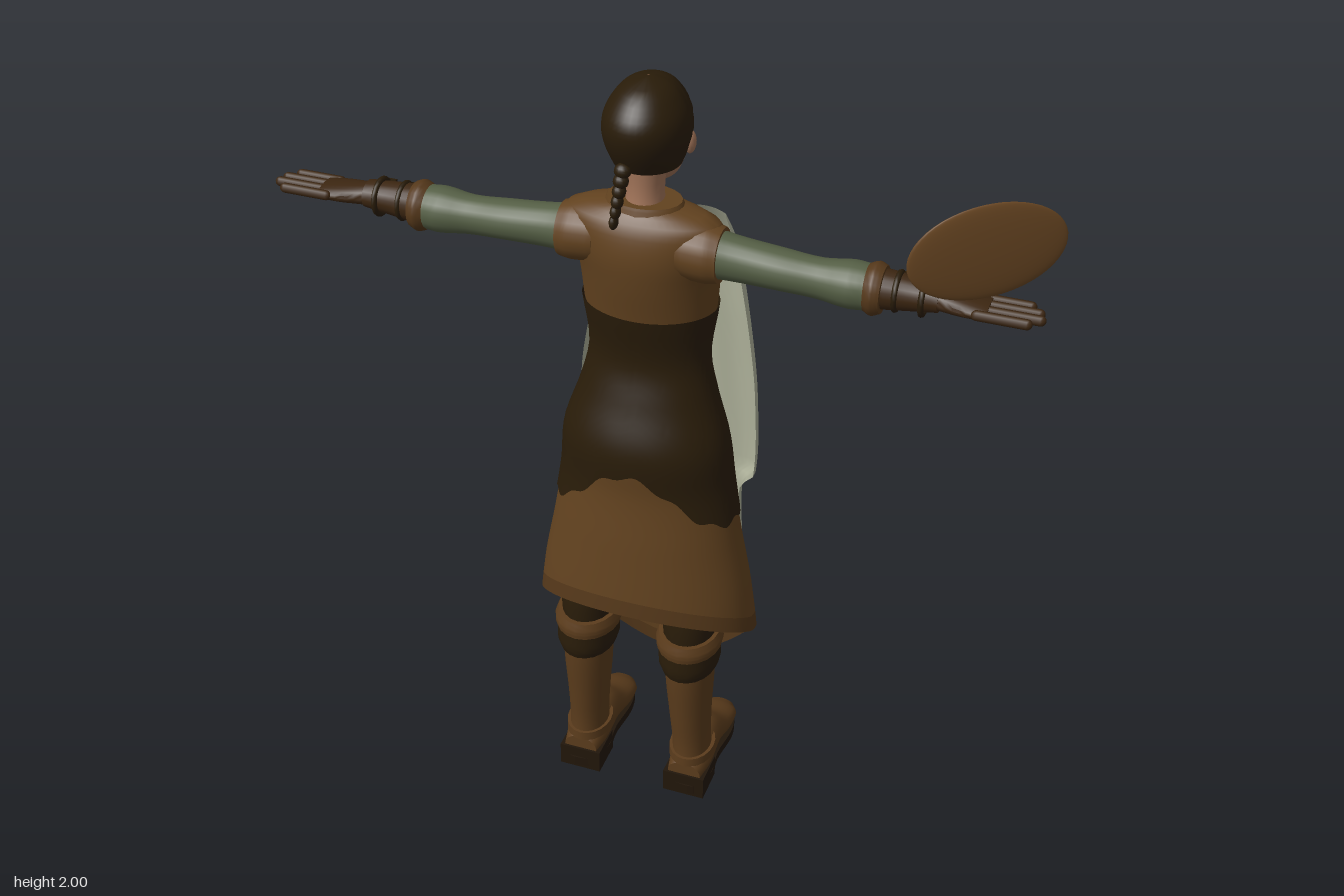
import * as THREE from 'three';
import { toCreasedNormals } from 'three/addons/utils/BufferGeometryUtils.js';

const mat = (name, color, side = THREE.FrontSide) => Object.assign(new THREE.MeshStandardMaterial({ color, side }), { name });
const M = {
  brown: mat('brown cloth', 0x62421f, THREE.DoubleSide),
  dark: mat('dark leather', 0x291c09, THREE.DoubleSide),
  hem: mat('hem brown', 0x55381a, THREE.DoubleSide),
  green: mat('green linen', 0x545e44, THREE.DoubleSide),
  pale: mat('pale canvas', 0xaeb19a, THREE.DoubleSide),
  skin: mat('skin', 0xa07358),
  boot: mat('boot leather', 0x5b3c1c),
  glove: mat('glove leather', 0x3c2611),
  sole: mat('sole', 0x21160a),
  wood: mat('wood', 0x6a4723),
};

// smooth interpolation of table rows keyed by their first column
function at(table, k) {
  let i = 0;
  while (i < table.length - 2 && k > table[i + 1][0]) i++;
  const a = table[i], b = table[i + 1], p = table[i - 1] ?? a, n = table[i + 2] ?? b;
  const h = b[0] - a[0], t = THREE.MathUtils.clamp((k - a[0]) / h, 0, 1);
  return a.map((v, j) => {
    const m0 = (b[j] - p[j]) / (b[0] - p[0]) * h, m1 = (n[j] - v) / (n[0] - a[0]) * h;
    return (2 * t ** 3 - 3 * t * t + 1) * v + (t ** 3 - 2 * t * t + t) * m0 + (3 * t * t - 2 * t ** 3) * b[j] + (t ** 3 - t * t) * m1;
  });
}

// grid surface from f(u, v) -> [x, y, z]
function surface(nu, nv, f) {
  const pos = [], idx = [];
  for (let j = 0; j <= nv; j++) for (let i = 0; i <= nu; i++) pos.push(...f(i / nu, j / nv));
  for (let j = 0; j < nv; j++) for (let i = 0; i < nu; i++) {
    const a = j * (nu + 1) + i, c = a + nu + 1;
    idx.push(a, a + 1, c + 1, a, c + 1, c);
  }
  const g = new THREE.BufferGeometry();
  g.setAttribute('position', new THREE.Float32BufferAttribute(pos, 3));
  g.setIndex(idx);
  return toCreasedNormals(g, 1);
}

// capped loft along y; rows are [y, centre x, centre z, radius x, radius z]
function loft(rows, nu = 20, sub = 4) {
  const n = (rows.length - 1) * sub;
  return surface(nu, n + 2, (u, v) => {
    const j = Math.round(v * (n + 2)) - 1, q = THREE.MathUtils.clamp(j / sub, 0, rows.length - 1);
    const i = Math.min(Math.floor(q), rows.length - 2);
    const r = at(rows, rows[i][0] + (q - i) * (rows[i + 1][0] - rows[i][0]));
    const k = j < 0 || j > n ? 0 : 1, a = u * 2 * Math.PI;
    return [r[1] + k * r[3] * Math.sin(a), r[0], r[2] + k * r[4] * Math.cos(a)];
  });
}

// point on a shell; rows are [y, radius x, front z, back z]; angle 0 is the back
function shellPoint(rows, a, y, off) {
  const [, rx, zf, zb] = at(rows, y);
  return [(rx + off) * Math.sin(a), y, (zf + zb) / 2 + ((zb - zf) / 2 + off) * Math.cos(a)];
}

// band of a shell between two heights, with an optional gap at the front
function shell(rows, lo, hi, { off = 0, gap = () => 0, nu = 56, nv = 20 } = {}) {
  return surface(nu, nv, (u, v) => {
    const a = (2 * u - 1) * (Math.PI - gap(v));
    return shellPoint(rows, a, THREE.MathUtils.lerp(lo(a), hi(a), v), off);
  });
}

// mirror in x, keeping faces outward
function mirrored(geo) {
  const g = geo.index ? geo.toNonIndexed() : geo.clone();
  g.scale(-1, 1, 1);
  for (const attr of [g.attributes.position, g.attributes.normal]) {
    for (let i = 0; i < attr.count; i += 3) {
      const p = [attr.getX(i), attr.getY(i), attr.getZ(i)];
      attr.setXYZ(i, attr.getX(i + 2), attr.getY(i + 2), attr.getZ(i + 2));
      attr.setXYZ(i + 2, ...p);
    }
  }
  return g;
}

const ball = (x, y, z, sx, sy, sz) => new THREE.SphereGeometry(1, 14, 10).scale(sx, sy, sz).translate(x, y, z);
const box = (w, h, d, x, y, z) => new THREE.BoxGeometry(w, h, d).translate(x, y, z);
const tube = (pts, r) => new THREE.TubeGeometry(new THREE.CatmullRomCurve3(pts.map(p => new THREE.Vector3(...p))), 12, r, 8);
// loft along x; the second column is minus the height
const arm = rows => loft(rows).rotateZ(-Math.PI / 2);

export function createModel() {
  const root = new THREE.Group();
  const add = (name, geo, m, parent = root) => {
    const mesh = new THREE.Mesh(geo, m);
    mesh.name = name;
    parent.add(mesh);
  };
  const both = (name, geo, m) => { add(name + 'Left', geo, m); add(name + 'Right', mirrored(geo), m); };

  // dress
  const body = [
    [0.15, 0.275, -0.175, 0.23], [0.4, 0.295, -0.16, 0.22], [0.62, 0.275, -0.14, 0.205], [0.8, 0.242, -0.125, 0.188],
    [0.95, 0.218, -0.115, 0.172], [1.08, 0.203, -0.105, 0.175], [1.2, 0.165, -0.095, 0.135], [1.3, 0.145, -0.085, 0.108],
    [1.43, 0.16, -0.115, 0.128], [1.53, 0.168, -0.123, 0.145], [1.6, 0.18, -0.09, 0.15], [1.66, 0.188, -0.04, 0.138],
    [1.69, 0.165, -0.015, 0.12], [1.71, 0.07, -0.01, 0.1],
  ];
  const hem = a => { const c = Math.cos(a); return c > 0 ? 0.51 + 0.1 * c : 0.51 - 0.31 * c * c; };
  const waist = a => 0.865 + 0.155 * Math.cos(a) ** 4 + 0.008 * Math.sin(a * 14);
  add('skirt', shell(body, a => hem(a) + 0.045, () => 1.06, { gap: v => 0.1 * (1 - v) }), M.brown);
  add('skirtHem', shell(body, hem, a => hem(a) + 0.045, { gap: () => 0.1, nv: 2 }), M.hem);
  add('corset', shell(body, waist, () => 1.435, { off: 0.005, nu: 112 }), M.dark);
  add('bodice', shell(body, () => 1.425, () => 1.71), M.brown);
  both('armhole', arm([[0.1, -1.615, 0.062, 0.07, 0.07], [0.16, -1.612, 0.064, 0.072, 0.07], [0.192, -1.61, 0.065, 0.066, 0.062]]), M.brown);
  add('shirtFront', surface(20, 12, (u, v) =>
    shellPoint(body, Math.PI + (u - 0.5) * (1.1 + 0.5 * v), 1.47 + 0.18 * v, 0.005)), M.green);
  add('collar', loft([[1.67, 0, 0.045, 0.105, 0.075], [1.7, 0, 0.045, 0.095, 0.068], [1.715, 0, 0.045, 0.088, 0.062]]), M.brown);

  // canvas hung in front; rows are [y, right edge, left edge, front z]
  const canvas = [[0.38, -0.23, 0.2, -0.19], [0.6, -0.235, 0.195, -0.192], [0.84, -0.235, 0.19, -0.19], [0.86, -0.235, 0.222, -0.19],
    [1.1, -0.235, 0.222, -0.19], [1.3, -0.2, 0.2, -0.19], [1.5, -0.157, 0.165, -0.19], [1.56, -0.14, 0.15, -0.165], [1.6, -0.125, 0.135, -0.14]];
  add('canvas', surface(60, 60, (u, v) => {
    const p = (0.5 - u) * Math.PI, y = 0.38 + 1.22 * v, [, x0, x1, zf] = at(canvas, y);
    const x = (x0 + x1) / 2 + (x1 - x0) / 2 * Math.sin(p), front = Math.max(Math.cos(p), 0) ** 0.36;
    const fold = 0.007 * front * Math.sin(x * 38 + y * 4);
    return [x, y + 0.012 * v * Math.sin(x * 25), -0.13 + (zf + 0.13) * front + fold];
  }), M.pale);
  add('beltPouch', box(0.075, 0.09, 0.009, -0.125, 1.28, -0.19), M.glove);

  // head
  add('neck', loft([[1.67, 0, 0.05, 0.05, 0.05], [1.74, 0, 0.04, 0.043, 0.047], [1.82, 0, 0.04, 0.05, 0.05]]), M.skin);
  add('face', loft([[1.725, 0, -0.045, 0.022, 0.028], [1.75, 0, -0.028, 0.05, 0.056], [1.8, 0, -0.004, 0.074, 0.084],
    [1.86, 0, 0.015, 0.087, 0.103], [1.92, 0, 0.02, 0.085, 0.107], [1.97, 0, 0.02, 0.055, 0.07], [1.985, 0, 0.02, 0.02, 0.03]], 28), M.skin);
  const scalp = [[1.77, 0.068, -0.045, 0.09], [1.86, 0.098, -0.085, 0.138], [1.92, 0.095, -0.092, 0.145],
    [1.97, 0.066, -0.062, 0.108], [1.99, 0.038, -0.026, 0.072], [2, 0.002, 0.02, 0.024]];
  const hairline = a => 1.8 + 0.14 * THREE.MathUtils.smoothstep(-Math.cos(a), -0.05, 0.65);
  add('hair', shell(scalp, hairline, () => 2, { nu: 40, nv: 16 }), M.dark);
  for (let i = 0; i < 6; i++) {
    add('braidKnot', ball(-0.025 - 0.003 * i, 1.81 - 0.024 * i, 0.118 + 0.004 * i, 0.02 - 0.002 * i, 0.018, 0.018), M.dark);
  }
  add('nose', loft([[1.81, 0, -0.09, 0.013, 0.01], [1.825, 0, -0.094, 0.015, 0.018], [1.85, 0, -0.088, 0.008, 0.01],
    [1.875, 0, -0.083, 0.006, 0.006]], 12), M.skin);
  add('mouth', ball(0, 1.783, -0.081, 0.02, 0.005, 0.006), M.wood);
  both('ear', ball(0.09, 1.845, 0.0, 0.014, 0.028, 0.018), M.skin);
  both('eye', ball(0.034, 1.861, -0.08, 0.013, 0.005, 0.004), M.dark);
  both('brow', tube([[0.016, 1.882, -0.084], [0.036, 1.888, -0.079], [0.056, 1.88, -0.064]], 0.003), M.glove);

  // arms
  both('sleeve', arm([[0.15, -1.615, 0.065, 0.06, 0.06], [0.22, -1.61, 0.065, 0.053, 0.052], [0.33, -1.605, 0.067, 0.048, 0.05],
    [0.42, -1.6, 0.067, 0.047, 0.046], [0.49, -1.6, 0.067, 0.055, 0.056], [0.53, -1.6, 0.067, 0.053, 0.052]]), M.green);
  both('cuff', arm([[0.52, -1.6, 0.067, 0.05, 0.048], [0.545, -1.6, 0.067, 0.062, 0.06], [0.565, -1.6, 0.067, 0.055, 0.054]]), M.hem);
  both('bracer', arm([[0.555, -1.6, 0.063, 0.047, 0.047], [0.62, -1.6, 0.06, 0.04, 0.042], [0.69, -1.602, 0.06, 0.032, 0.038]]), M.glove);
  for (const x of [0.595, 0.655]) {
    both('bracerStrap', new THREE.TorusGeometry(0.042, 0.007, 8, 20).rotateY(Math.PI / 2).translate(x, 1.6, 0.061), M.dark);
    both('buckle', box(0.022, 0.022, 0.018, x, 1.605, 0.008), M.dark);
  }
  both('palm', arm([[0.68, -1.602, 0.06, 0.026, 0.034], [0.74, -1.6, 0.063, 0.022, 0.044], [0.8, -1.6, 0.068, 0.016, 0.046]]), M.glove);
  for (const [z, tip] of [[0.03, 0.895], [0.055, 0.918], [0.08, 0.925], [0.105, 0.9]]) {
    both('finger', new THREE.CapsuleGeometry(0.012, tip - 0.79, 4, 10).rotateZ(-Math.PI / 2).translate((tip + 0.766) / 2, 1.602, z), M.glove);
  }
  both('thumb', tube([[0.71, 1.597, 0.045], [0.76, 1.575, 0.014], [0.81, 1.545, 0]], 0.014), M.glove);
  both('thumbTip', ball(0.81, 1.545, 0, 0.014, 0.014, 0.014), M.glove);

  // legs and boots
  both('trouserLeg', loft([[0.45, 0.138, 0.095, 0.06, 0.08], [0.6, 0.135, 0.09, 0.072, 0.085], [0.85, 0.105, 0.03, 0.085, 0.09]]), M.dark);
  both('bootShaft', loft([[0.06, 0.147, 0.085, 0.052, 0.073], [0.15, 0.145, 0.09, 0.05, 0.064], [0.25, 0.142, 0.095, 0.054, 0.068],
    [0.38, 0.14, 0.098, 0.062, 0.078], [0.47, 0.14, 0.098, 0.062, 0.08]]), M.boot);
  both('bootCuffBand', loft([[0.415, 0.139, 0.098, 0.07, 0.09], [0.44, 0.139, 0.098, 0.078, 0.097], [0.49, 0.138, 0.098, 0.078, 0.096]]), M.dark);
  both('bootCuff', loft([[0.485, 0.138, 0.097, 0.082, 0.098], [0.505, 0.138, 0.097, 0.085, 0.1], [0.53, 0.137, 0.095, 0.077, 0.095]]), M.boot);
  both('ankleStrap', loft([[0.1, 0.146, 0.085, 0.06, 0.078], [0.125, 0.146, 0.086, 0.059, 0.076]]), M.boot);
  for (let i = 0; i < 5; i++) both('lace', box(0.045, 0.009, 0.012, 0.142, 0.18 + i * 0.045, 0.03 - i * 0.002), M.dark);
  // foot runs along -z; the third column is the height
  both('foot', loft([[-0.158, 0.147, 0.07, 0.045, 0.035], [-0.09, 0.147, 0.085, 0.056, 0.055], [0, 0.146, 0.085, 0.052, 0.06],
    [0.07, 0.146, 0.06, 0.056, 0.04], [0.13, 0.146, 0.05, 0.053, 0.028], [0.165, 0.146, 0.043, 0.032, 0.016]]).rotateX(-Math.PI / 2), M.boot);
  const solePoints = [[0.115, 0.163], [0.18, 0.163], [0.204, 0.1], [0.196, 0.02], [0.205, -0.08], [0.185, -0.15], [0.146, -0.172],
    [0.107, -0.15], [0.09, -0.08], [0.098, 0.02], [0.09, 0.1], [0.115, 0.163]].map(p => new THREE.Vector2(...p));
  const outline = new THREE.Shape(new THREE.SplineCurve(solePoints).getPoints(48));
  both('sole', new THREE.ExtrudeGeometry(outline, { depth: 0.026, bevelEnabled: false }).rotateX(Math.PI / 2).translate(0, 0.036, 0), M.sole);
  both('heel', box(0.112, 0.066, 0.1, 0.147, 0.033, 0.114), M.sole);

  // oval shield floating over the left hand, with pale scratches on its inner face
  const shield = new THREE.Group();
  shield.name = 'shield';
  shield.position.set(0.785, 1.75, 0.085);
  shield.rotation.y = 0.66;
  root.add(shield);
  add('shieldPlate', new THREE.SphereGeometry(1, 48, 24).scale(0.187, 0.115, 0.013), M.wood, shield);
  for (const x of [-0.08, 0, 0.07]) {
    const line = [0.065, 0.02, -0.02, -0.065].map((y, i) => {
      const px = x + 0.006 * (i % 2);
      return [px, y, -0.013 * Math.sqrt(1 - (px / 0.187) ** 2 - (y / 0.115) ** 2)];
    });
    add('scratch', tube(line, 0.0025), M.pale, shield);
  }
  return root;
}
